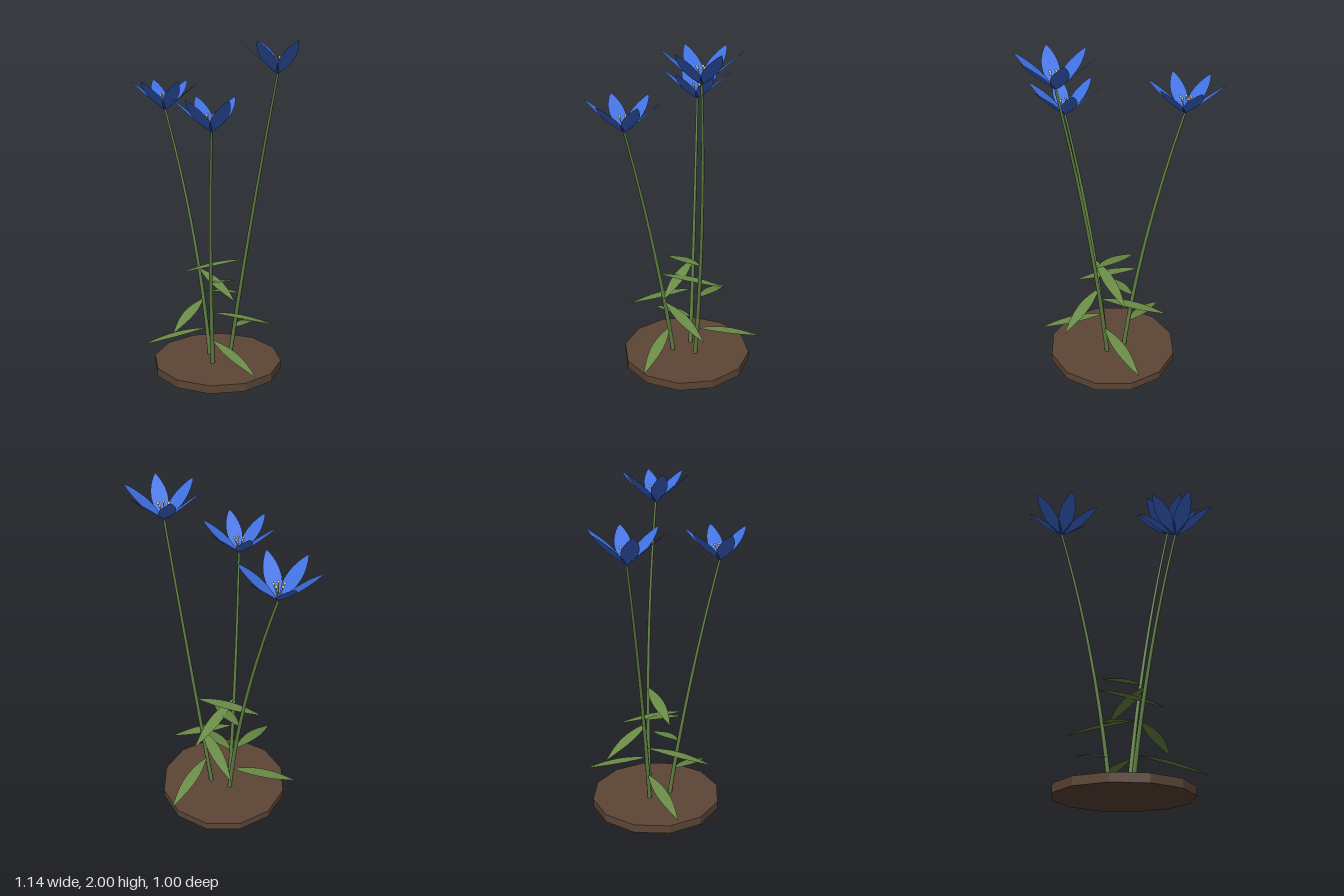
import * as THREE from 'three';

const mat = (name, color, extra = {}) => Object.assign(new THREE.MeshStandardMaterial({ color, ...extra }), { name });
const soilMat = mat('soil brown', 0x5c4535, { flatShading: true });
const stemMat = mat('stem green', 0x5f8040);
const leafMat = mat('leaf green', 0x6b8c47, { side: THREE.DoubleSide });
const petalMat = mat('petal blue', 0x3f70e0, { side: THREE.DoubleSide });
const stamenMat = mat('stamen cream', 0xcfccb8);

const V = (x, y, z) => new THREE.Vector3(x, y, z);

function mesh(name, geometry, material, parent) {
  const m = new THREE.Mesh(geometry, material);
  m.name = name;
  parent.add(m);
  return m;
}

// Thin pointed blade from base to tip, level across, arched upward by bow
function bladeGeometry(base, tip, halfWidth, bow, power, bias, steps = 12) {
  const side = V(tip.z - base.z, 0, base.x - tip.x).normalize();
  const pos = [], index = [];
  for (let i = 0; i <= steps; i++) {
    const t = i / steps;
    const w = halfWidth * Math.pow(Math.max(0, Math.sin(Math.PI * Math.pow(t, bias))), power);
    const p = base.clone().lerp(tip, t);
    p.y += bow * 4 * t * (1 - t);
    for (const s of [-1, 1]) pos.push(...p.clone().addScaledVector(side, s * w).toArray());
    if (i < steps) {
      const a = i * 2;
      index.push(a, a + 1, a + 2, a + 1, a + 3, a + 2);
    }
  }
  const g = new THREE.BufferGeometry();
  g.setAttribute('position', new THREE.Float32BufferAttribute(pos, 3));
  g.setIndex(index);
  g.computeVertexNormals();
  return g;
}

// Tube that narrows from radius r0 to r1
function taperedTube(curve, r0, r1, segments, sides) {
  const g = new THREE.TubeGeometry(curve, segments, r0, sides);
  const pos = g.attributes.position, v = V(0, 0, 0);
  for (let i = 0; i < pos.count; i++) {
    const t = Math.floor(i / (sides + 1)) / segments;
    const c = curve.getPointAt(t);
    v.fromBufferAttribute(pos, i).sub(c).multiplyScalar(1 + (r1 / r0 - 1) * t).add(c);
    pos.setXYZ(i, v.x, v.y, v.z);
  }
  return g;
}

function createFlower() {
  const flower = new THREE.Group();
  flower.name = 'flower';
  // Six flat petals opening upward
  for (let i = 0; i < 6; i++) {
    const a = i * Math.PI / 3;
    const tip = V(0.22 * Math.cos(a), 0.18, 0.22 * Math.sin(a));
    mesh('petal', bladeGeometry(V(0, 0, 0), tip, 0.047, 0, 0.8, 0.95), petalMat, flower);
  }
  // Five stamens with round tips
  for (let i = 0; i < 5; i++) {
    const a = i * Math.PI * 2 / 5;
    const end = V(0.03 * Math.cos(a), 0.09, 0.03 * Math.sin(a));
    mesh('filament', new THREE.TubeGeometry(new THREE.LineCurve3(V(0, 0, 0), end), 1, 0.002, 5), stamenMat, flower);
    mesh('anther', new THREE.SphereGeometry(0.008, 8, 6), stamenMat, flower).position.copy(end);
  }
  return flower;
}

// Stem points: foot, middle, top; leaves: [base height, tip x, y, z]
const PLANTS = [
  { path: [[-0.055, 0.04, -0.13], [-0.165, 0.82, -0.198], [-0.35, 1.59, -0.295]],
    leaves: [[0.22, -0.475, 0.125, -0.045], [0.41, -0.23, 0.32, 0.22], [0.605, 0.125, 0.5, 0.13]] },
  { path: [[-0.02, 0.04, 0.005], [-0.018, 0.79, 0.136], [0.01, 1.52, 0.31]],
    leaves: [[0.21, 0.265, 0.11, 0.315], [0.395, 0.365, 0.3, -0.03], [0.59, 0.12, 0.49, -0.3]] },
  { path: [[0.075, 0.04, -0.105], [0.203, 0.93, -0.08], [0.35, 1.82, 0]],
    leaves: [[0.245, 0.21, 0.155, -0.5], [0.475, -0.14, 0.375, -0.41], [0.7, -0.235, 0.61, -0.04]] },
];

export function createModel() {
  const model = new THREE.Group();
  model.name = 'pottedFlowers';

  // Twelve-sided disc of soil
  mesh('soilBase', new THREE.CylinderGeometry(0.4, 0.4, 0.05, 12), soilMat, model).position.set(0, 0.025, -0.078);

  for (const { path, leaves } of PLANTS) {
    const plant = new THREE.Group();
    plant.name = 'plant';
    model.add(plant);

    // Bowed stem passing through its middle point
    const [foot, mid, top] = path.map((p) => V(...p));
    const control = mid.clone().multiplyScalar(2).addScaledVector(foot, -0.5).addScaledVector(top, -0.5);
    const curve = new THREE.QuadraticBezierCurve3(foot, control, top);
    mesh('stem', taperedTube(curve, 0.014, 0.007, 20, 7), stemMat, plant);

    // Leaves start at the stem's centre line
    for (const [h, x, y, z] of leaves) {
      const base = curve.getPoint((h - foot.y) / (top.y - foot.y));
      mesh('leaf', bladeGeometry(base, V(x, y, z), 0.038, 0.012, 1, 0.95), leafMat, plant);
    }

    const flower = createFlower();
    flower.position.copy(top);
    plant.add(flower);
  }
  return model;
}
